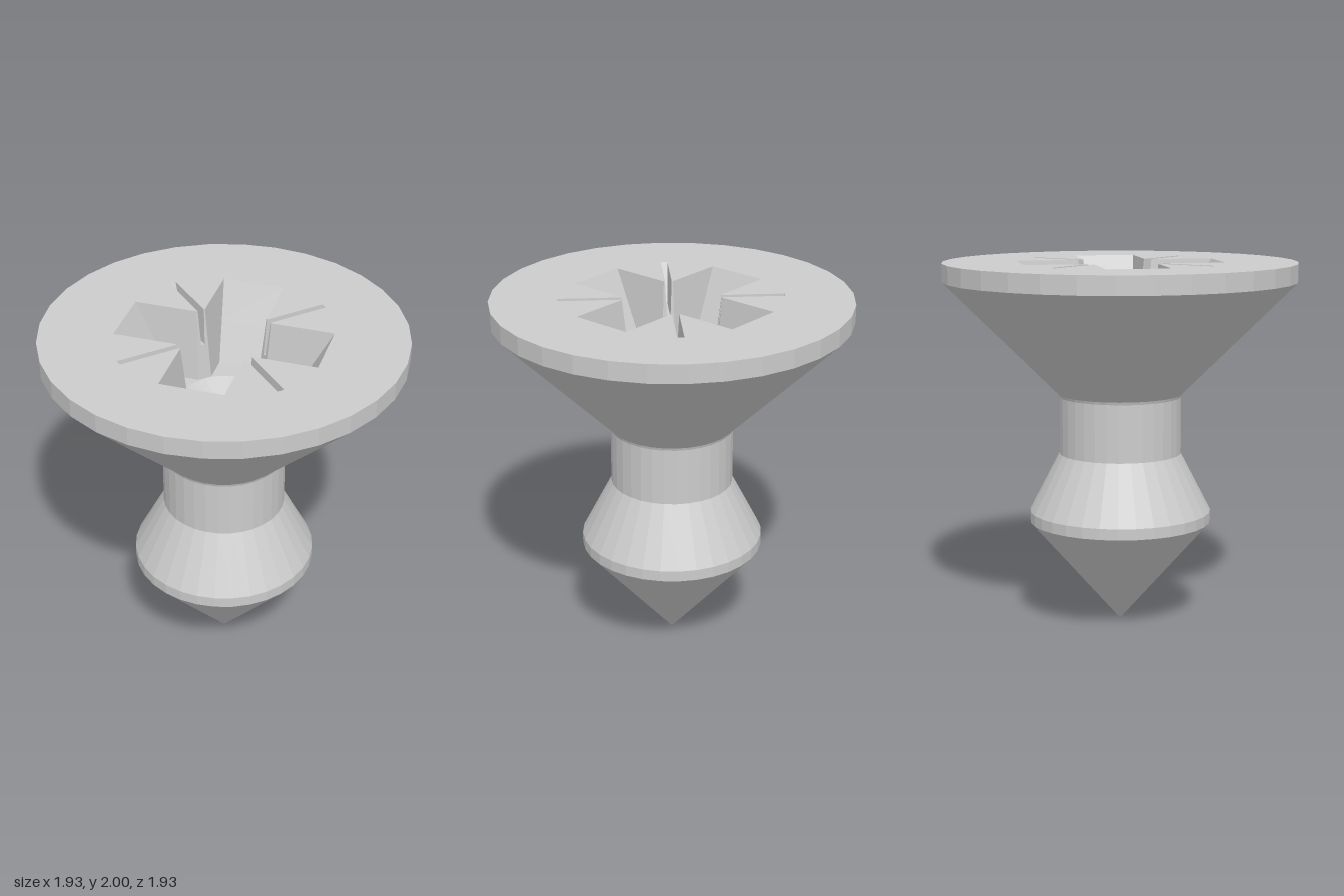
import * as THREE from 'three';

const SIDES = 32, TOP = 2;
const material = new THREE.MeshStandardMaterial({ color: 0xcccccc, flatShading: true });

function part(name, geometry, y = 0) {
  const mesh = new THREE.Mesh(geometry, material);
  mesh.name = name;
  mesh.position.y = y;
  return mesh;
}

const lathe = (points) =>
  new THREE.LatheGeometry(points.map(([r, y]) => new THREE.Vector2(r, y)), SIDES);

// Cross-shaped outline with a thin diagonal slot in each inner corner.
// end: arm length, w: arm half width, k: corner cut, slot: slot reach, h: slot half width
function outline({ end, w, k, slot, h }) {
  const mid = (w + k) / 2, s = h * Math.SQRT1_2;
  const reach = slot ? slot * Math.SQRT1_2 : mid;
  const quarter = [
    [end, -w], [end, w], [k, w],
    [mid + s, mid - s], [reach + s, reach - s],
    [reach - s, reach + s], [mid - s, mid + s],
    [w, k],
  ];
  const points = [];
  for (let q = 0; q < 4; q++) {
    const c = [1, 0, -1, 0][q], n = [0, 1, 0, -1][q];
    for (const [x, y] of quarter) points.push(new THREE.Vector2(x * c - y * n, x * n + y * c));
  }
  return points;
}

// Inward-facing walls joining successive outlines
function recessWalls(levels) {
  const rings = levels.map((l) => outline(l).map((p) => [p.x, l.y, -p.y]));
  const position = [];
  for (let i = 0; i < rings.length - 1; i++) {
    const n = rings[i].length;
    for (let j = 0; j < n; j++) {
      const a = rings[i][j], b = rings[i][(j + 1) % n];
      const c = rings[i + 1][(j + 1) % n], d = rings[i + 1][j];
      position.push(...a, ...b, ...c, ...a, ...c, ...d);
    }
  }
  const geometry = new THREE.BufferGeometry();
  geometry.setAttribute('position', new THREE.Float32BufferAttribute(position, 3));
  geometry.computeVertexNormals();
  return geometry;
}

function circle(radius) {
  return Array.from({ length: SIDES }, (_, i) => {
    const a = (i / SIDES) * Math.PI * 2;
    return new THREE.Vector2(radius * Math.cos(a), radius * Math.sin(a));
  });
}

// Horizontal face with a hole
function plate(outer, inner) {
  const shape = new THREE.Shape(outer);
  shape.holes.push(new THREE.Path(inner));
  return new THREE.ShapeGeometry(shape).rotateX(-Math.PI / 2);
}

export function createModel() {
  const group = new THREE.Group();
  group.name = 'screw';

  // Point, collar, neck and countersunk head
  group.add(part('tip', lathe([[0, 0], [0.5, 0.57]])));
  group.add(part('collar', lathe([[0.5, 0.57], [0.5, 0.63], [0.335, 0.95]])));
  group.add(part('neck', lathe([[0.335, 0.95], [0.335, 1.265], [0.34, 1.28], [0.355, 1.295]])));
  group.add(part('head', lathe([[0.355, 1.295], [0.965, 1.9], [0.965, TOP]])));

  // Driver recess: the slots end on flat floors halfway down
  const levels = [
    { y: TOP, end: 0.545, w: 0.17, k: 0.205, slot: 0.6, h: 0.018 },
    { y: TOP - 0.2, end: 0.438, w: 0.15, k: 0.194, slot: 0.5, h: 0.01 },
    { y: TOP - 0.2, end: 0.438, w: 0.15, k: 0.194, slot: 0, h: 0.01 },
    { y: TOP - 0.4, end: 0.33, w: 0.13, k: 0.184, slot: 0, h: 0.01 },
  ];
  group.add(part('headTop', plate(circle(0.965), outline(levels[0])), TOP));
  group.add(part('recessWalls', recessWalls(levels)));

  // Recess floor with a conical centre
  const { end, w, k } = levels[3], cross = [];
  for (let q = 0; q < 4; q++) {
    const c = [1, 0, -1, 0][q], n = [0, 1, 0, -1][q];
    for (const [x, y] of [[end, -w], [end, w], [k, w], [w, k]])
      cross.push(new THREE.Vector2(x * c - y * n, x * n + y * c));
  }
  group.add(part('recessFloor', plate(cross, circle(0.22)), TOP - 0.4));
  group.add(part('recessCone', lathe([[0.22, TOP - 0.4], [0, TOP - 0.52]])));

  return group;
}
